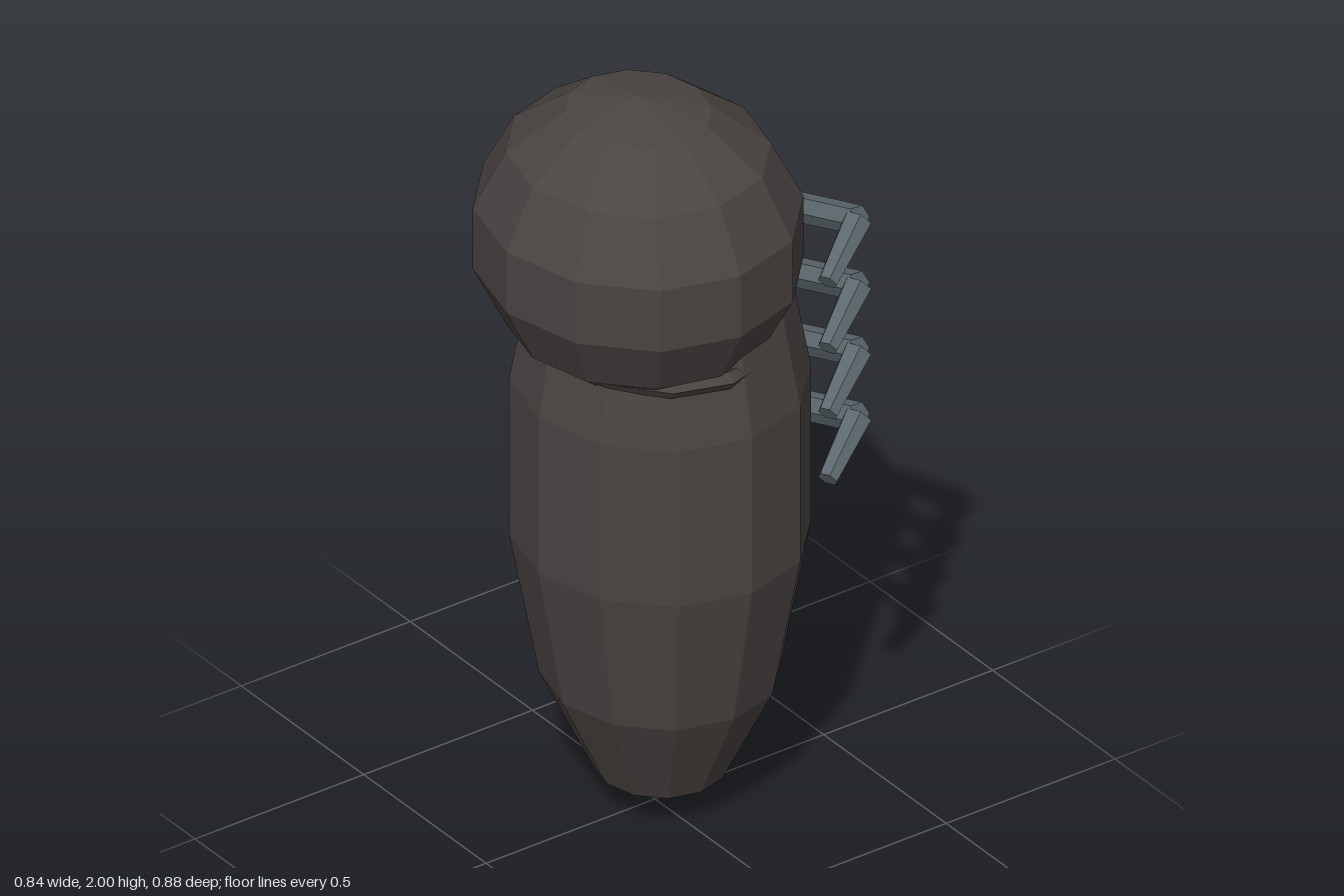
import * as THREE from 'three';

export function createModel() {
  const model = new THREE.Group();
  const shellMat = new THREE.MeshStandardMaterial({ color: 0x4a4442, flatShading: true });
  const legMat = new THREE.MeshStandardMaterial({ color: 0x5c686d, flatShading: true });

  // Faceted ellipsoid
  function ellipsoid(name, radii, position) {
    const mesh = new THREE.Mesh(new THREE.SphereGeometry(1, 12, 7), shellMat);
    mesh.name = name;
    mesh.scale.set(...radii);
    mesh.position.set(...position);
    model.add(mesh);
  }

  // Six-sided rod between two points
  function rod(name, from, to, r0, r1) {
    const dir = to.clone().sub(from);
    const geo = new THREE.CylinderGeometry(r1, r0, dir.length(), 6);
    const mesh = new THREE.Mesh(geo, legMat);
    mesh.name = name;
    mesh.position.copy(from).add(to).multiplyScalar(0.5);
    mesh.quaternion.setFromUnitVectors(new THREE.Vector3(0, 1, 0), dir.normalize());
    return mesh;
  }

  // Long body and rounded head
  ellipsoid('body', [0.385, 0.98, 0.369], [0, 0.98, -0.015]);
  ellipsoid('head', [0.43, 0.385, 0.4], [0, 1.615, 0.05]);

  // Thin collar under the head
  const collar = new THREE.Mesh(new THREE.TorusGeometry(0.335, 0.025, 5, 12), shellMat);
  collar.name = 'collar';
  collar.rotation.x = Math.PI / 2;
  collar.scale.y = 0.82;
  collar.position.set(0, 1.36, 0.025);
  model.add(collar);

  // Four pairs of bent legs along the back
  for (const side of [1, -1]) {
    for (let i = 0; i < 4; i++) {
      const y = 1.62 - i * 0.185;
      const hip = new THREE.Vector3(side * 0.055, y - 0.06, -0.38);
      const knee = new THREE.Vector3(side * 0.27, y, -0.405);
      const tip = new THREE.Vector3(side * 0.34, y - 0.09, -0.265);
      const leg = new THREE.Group();
      leg.name = (side > 0 ? 'left' : 'right') + 'Leg' + (i + 1);
      leg.add(rod('upperLeg', hip, knee, 0.037, 0.037));
      leg.add(rod('lowerLeg', knee, tip, 0.037, 0.026));
      model.add(leg);
    }
  }
  return model;
}
